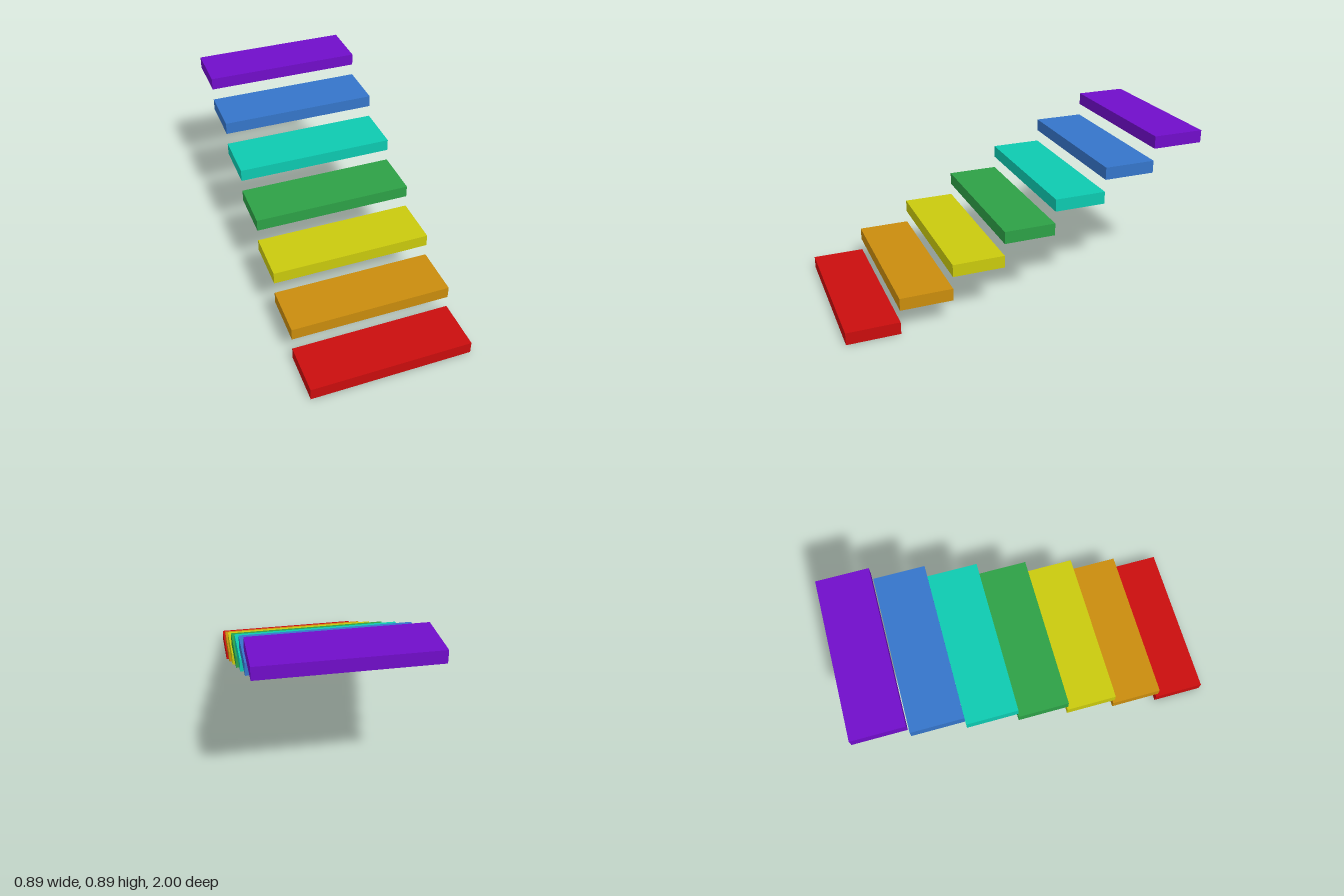
import * as THREE from 'three';

const STEPS = [
  ['red', 0xc90d0d],
  ['orange', 0xc98c0d],
  ['yellow', 0xc9c90d],
  ['green', 0x2da046],
  ['turquoise', 0x0dc9b0],
  ['blue', 0x3575c9],
  ['purple', 0x700dc9],
];

export function createModel() {
  const group = new THREE.Group();
  group.name = 'floatingStairs';

  const width = 0.886, thickness = 0.0685, rise = 0.1367;
  const depth = 2 / STEPS.length;
  const slab = new THREE.BoxGeometry(width, thickness, depth);

  // Floating treads climbing from the front to the back
  STEPS.forEach(([name, color], i) => {
    const material = new THREE.MeshStandardMaterial({ color });
    material.name = name;
    const step = new THREE.Mesh(slab, material);
    step.name = name + 'Step';
    step.position.set(0, thickness / 2 + i * rise, 1 - depth * (i + 0.5));
    group.add(step);
  });

  return group;
}
